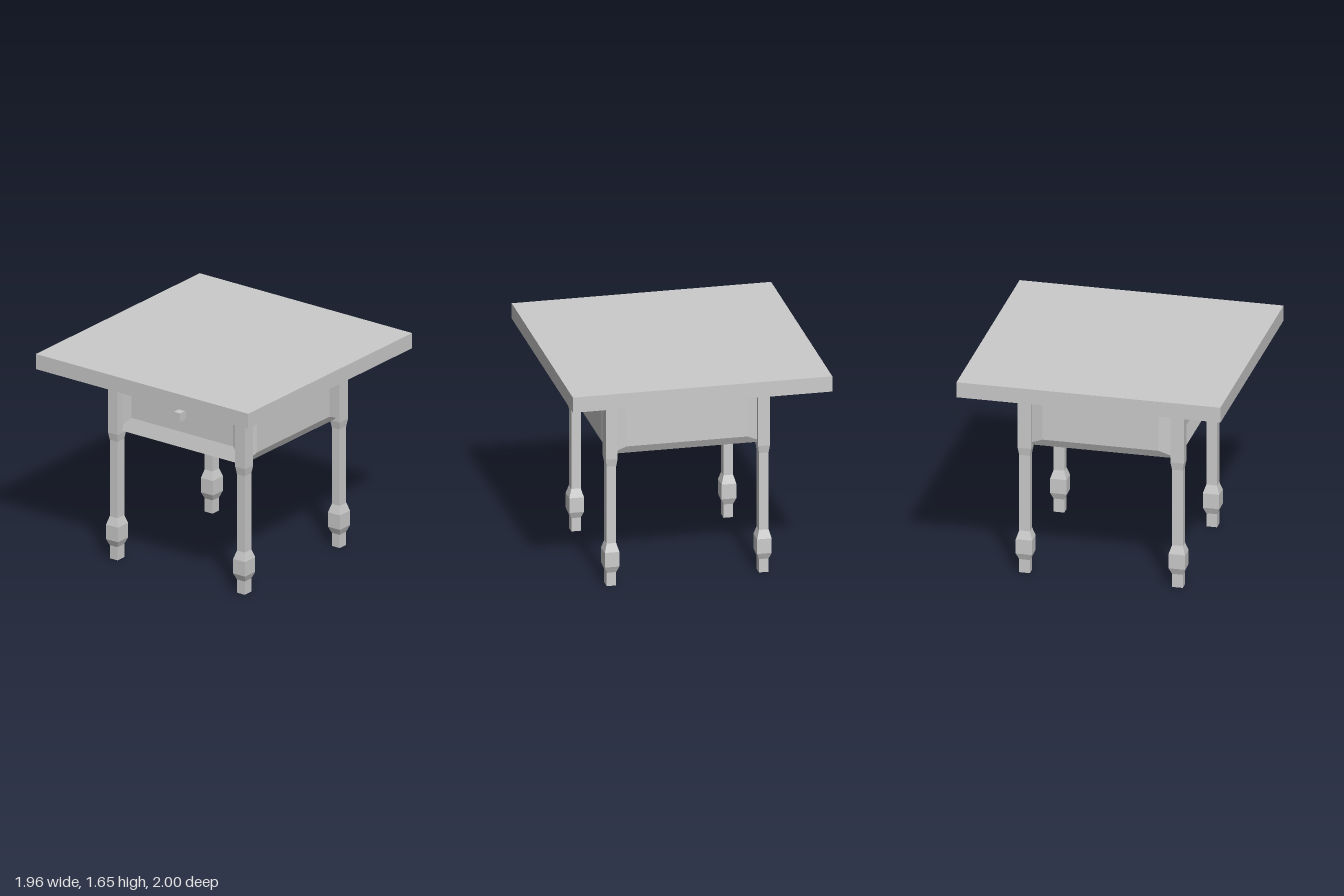
import * as THREE from 'three';

const material = new THREE.MeshStandardMaterial({ color: 0xcccccc, flatShading: true });

function add(parent, geometry, name, x = 0, y = 0, z = 0) {
  const mesh = new THREE.Mesh(geometry, material);
  mesh.name = name;
  mesh.position.set(x, y, z);
  parent.add(mesh);
  return mesh;
}

// Square turned leg: [half width, height], slightly deeper than wide
const legProfile = [
  [0, 0], [0.036, 0], [0.036, 0.105], [0.055, 0.155], [0.055, 0.27],
  [0.036, 0.335], [0.036, 0.94], [0.045, 1.0], [0.045, 1.53],
];

function legGeometry() {
  const points = legProfile.map(([r, y]) => new THREE.Vector2(r * Math.SQRT2, y));
  return new THREE.LatheGeometry(points, 4).rotateY(Math.PI / 4).scale(1, 1, 1.13);
}

// Rectangular panel facing +z with a bevelled border; negative depth recesses it
function panelGeometry(w, h, bx, by, depth) {
  const ring = (x, y, z) => [[-x, -y, z], [x, -y, z], [x, y, z], [-x, y, z]];
  const corners = [...ring(w / 2, h / 2, 0), ...ring(w / 2 - bx, h / 2 - by, depth)];
  const index = [4, 5, 6, 4, 6, 7];
  for (let i = 0; i < 4; i++) {
    const j = (i + 1) % 4;
    index.push(i, j, j + 4, i, j + 4, i + 4);
  }
  const geometry = new THREE.BufferGeometry();
  geometry.setAttribute('position', new THREE.Float32BufferAttribute(corners.flat(), 3));
  geometry.setIndex(index);
  const flat = geometry.toNonIndexed();
  flat.computeVertexNormals();
  return flat;
}

export function createModel() {
  const table = new THREE.Group();
  table.name = 'table';

  // Top slab
  add(table, new THREE.BoxGeometry(1.96, 0.12, 2), 'tableTop', 0, 1.587, 0);

  // Legs, standing slightly out of square
  const legs = [
    ['frontLeftLeg', 0.606, 0.555], ['backLeftLeg', 0.606, -0.602],
    ['frontRightLeg', -0.55, 0.578], ['backRightLeg', -0.55, -0.58],
  ];
  for (const [name, x, z] of legs) add(table, legGeometry(), name, x, 0, z);

  // Drawer case: recessed front, raised panels on the other sides
  const drawer = new THREE.Group();
  drawer.name = 'drawerCase';
  table.add(drawer);
  const x0 = -0.55, x1 = 0.605, z0 = -0.585, z1 = 0.575, y0 = 1.017, y1 = 1.527;
  const w = x1 - x0, d = z1 - z0, h = y1 - y0;
  const cx = (x0 + x1) / 2, cy = (y0 + y1) / 2, cz = (z0 + z1) / 2;
  add(drawer, panelGeometry(w, h, 0.108, 0.108, -0.03), 'drawerFront', cx, cy, z1);
  add(drawer, panelGeometry(w, h, 0.12, 0.06, 0.03), 'backPanel', cx, cy, z0).rotation.y = Math.PI;
  add(drawer, panelGeometry(d, h, 0.14, 0.06, 0.03), 'leftPanel', x1, cy, cz).rotation.y = Math.PI / 2;
  add(drawer, panelGeometry(d, h, 0.14, 0.06, 0.03), 'rightPanel', x0, cy, cz).rotation.y = -Math.PI / 2;
  add(drawer, new THREE.PlaneGeometry(w, d), 'caseBottom', cx, y0, cz).rotation.x = Math.PI / 2;

  // Drawer knob
  add(drawer, new THREE.BoxGeometry(0.055, 0.066, 0.08), 'drawerKnob', 0.036, 1.274, 0.581);

  return table;
}
